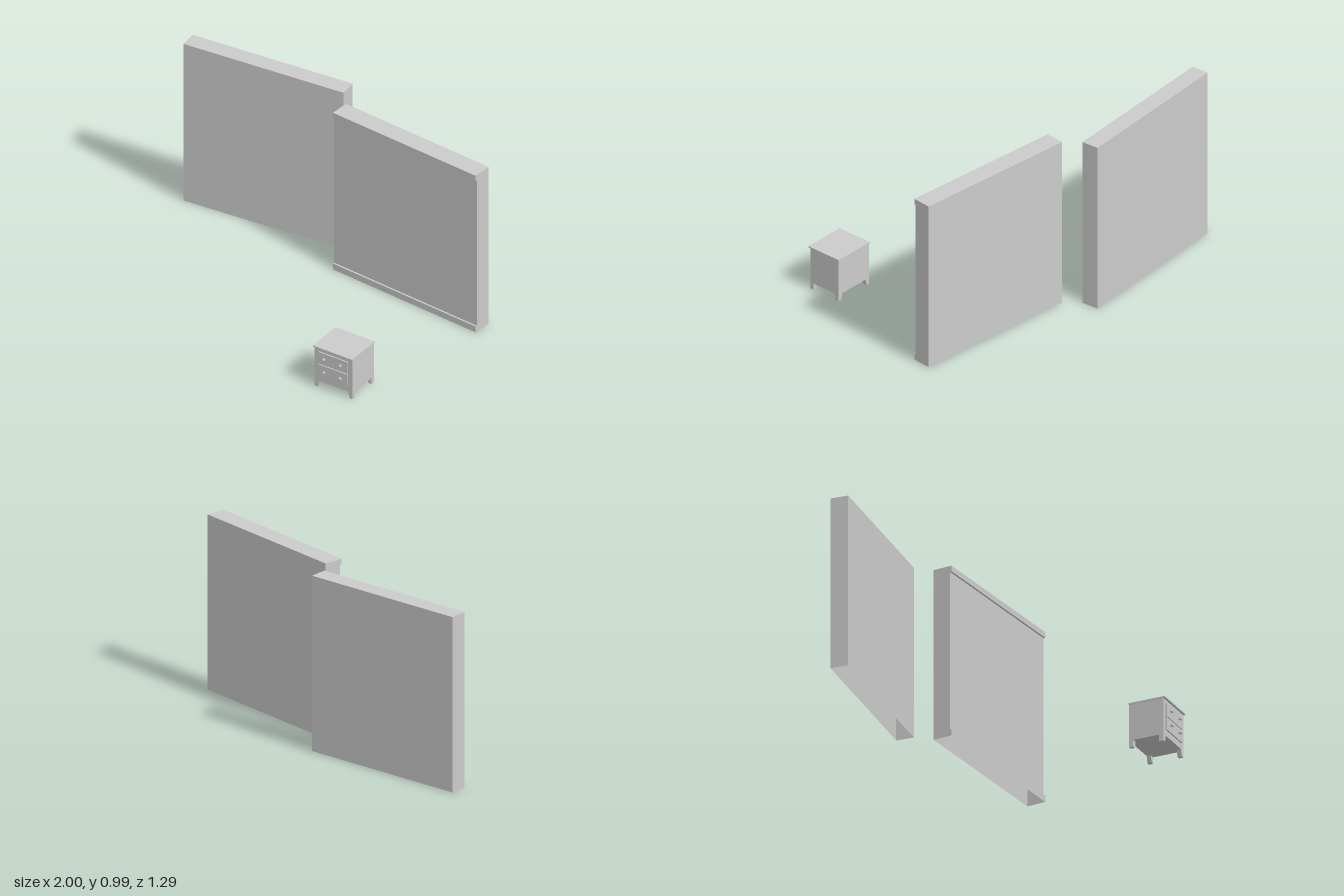
import * as THREE from 'three';

const grey = new THREE.MeshStandardMaterial({ color: 0xcccccc, flatShading: true });
const greyBoth = new THREE.MeshStandardMaterial({ color: 0xcccccc, flatShading: true, side: THREE.DoubleSide });
const smooth = new THREE.MeshStandardMaterial({ color: 0xcccccc });

function add(parent, name, geometry, material, x = 0, y = 0, z = 0) {
  const mesh = new THREE.Mesh(geometry, material);
  mesh.name = name;
  mesh.position.set(x, y, z);
  parent.add(mesh);
  return mesh;
}

function shapeOf(points) {
  return new THREE.Shape(points.map(([x, y]) => new THREE.Vector2(x, y)));
}

// Hollow wall: a (z, y) profile swept along x, left open underneath
function wallGeometry(profile, length) {
  const g = new THREE.ExtrudeGeometry(shapeOf(profile), { depth: length, bevelEnabled: false });
  g.translate(0, 0, -length / 2);
  g.rotateY(-Math.PI / 2);
  g.scale(1, 1, 1);
  const p = g.attributes.position;
  const kept = [];
  for (let i = 0; i < p.count; i += 3) {
    const onFloor = [0, 1, 2].every((k) => p.getY(i + k) < 1e-6);
    if (onFloor) continue;
    for (let k = 0; k < 3; k++) kept.push(p.getX(i + k), p.getY(i + k), p.getZ(i + k));
  }
  const open = new THREE.BufferGeometry();
  open.setAttribute('position', new THREE.Float32BufferAttribute(kept, 3));
  open.computeVertexNormals();
  return open;
}

function createNightstand() {
  const stand = new THREE.Group();
  stand.name = 'nightstand';
  const w = 0.241, bottom = 0.038, top = 0.247;

  add(stand, 'cabinet', new THREE.BoxGeometry(w, top - bottom, 0.2), grey, 0, (top + bottom) / 2, 0);
  add(stand, 'tabletop', new THREE.BoxGeometry(0.248, 0.008, 0.214), grey, 0, 0.251, 0.004);

  // Legs with a slanted inner edge
  const inner = w / 2;
  for (const side of [-1, 1]) {
    const pts = [[inner, 0], [inner, bottom], [inner - 0.03, bottom], [inner - 0.02, 0]];
    const leg = new THREE.ExtrudeGeometry(shapeOf(pts.map(([x, y]) => [x * side, y])), { depth: 0.024, bevelEnabled: false });
    add(stand, 'frontLeg', leg, grey, 0, 0, 0.076);
    add(stand, 'backLeg', leg, grey, 0, 0, -0.1);
  }

  // Two drawers with a pair of turned knobs each
  const knobProfile = [[0.004, 0], [0.004, 0.006], [0.009, 0.01], [0.01, 0.014], [0.007, 0.018], [0, 0.019]];
  const knob = new THREE.LatheGeometry(knobProfile.map(([r, h]) => new THREE.Vector2(r, h)), 16);
  knob.rotateX(Math.PI / 2);
  for (const [y, knobY] of [[0.188, 0.193], [0.11, 0.112]]) {
    add(stand, 'drawer', new THREE.BoxGeometry(0.185, 0.073, 0.012), grey, 0, y, 0.101);
    for (const x of [-0.052, 0.052]) add(stand, 'knob', knob, smooth, x, knobY, 0.107);
  }
  return stand;
}

export function createModel() {
  const model = new THREE.Group();
  model.name = 'roomSet';
  const h = 0.985, length = 0.964, angle = 0.085;

  // Plain wall
  const plain = [[-0.05, 0], [0.05, 0], [0.05, h], [-0.05, h]];
  add(model, 'plainWall', wallGeometry(plain, length), greyBoth, -0.515, 0, -0.554).rotation.y = angle;

  // Wall with a baseboard and a top moulding on its front
  const trimmed = [[-0.05, 0], [0.06, 0], [0.06, 0.037], [0.05, 0.037], [0.05, 0.952], [0.06, 0.952], [0.06, h], [-0.05, h]];
  add(model, 'trimmedWall', wallGeometry(trimmed, length), greyBoth, 0.516, 0, -0.374).rotation.y = -angle;

  const stand = createNightstand();
  stand.position.set(0.693, 0, 0.52);
  model.add(stand);
  return model;
}
